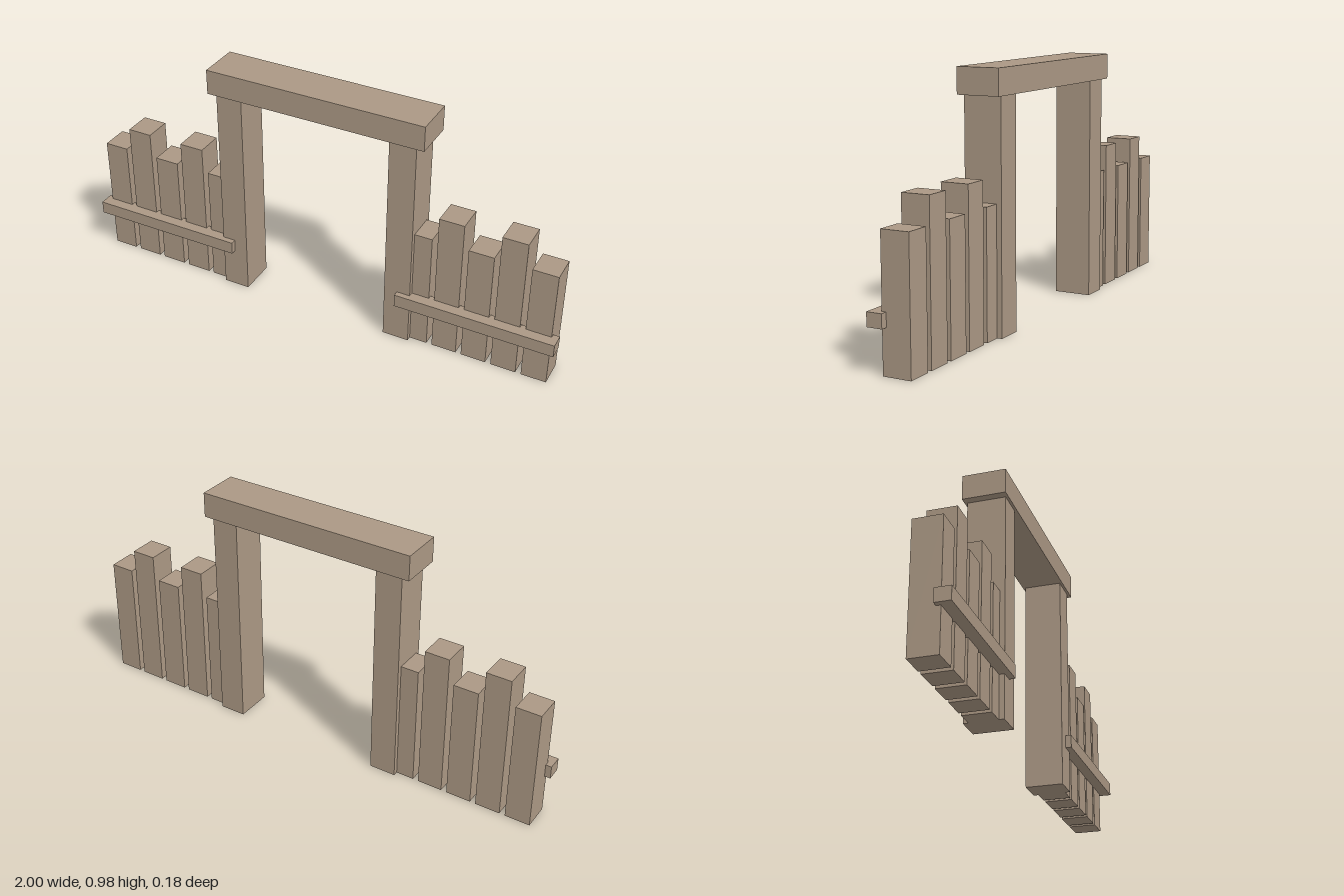
import * as THREE from 'three';

export function createModel() {
  const model = new THREE.Group();
  model.name = 'fenceGateway';
  const wood = new THREE.MeshStandardMaterial({ color: 0xab9884 });
  wood.name = 'weathered wood';

  // Box beam given by its extents on each axis
  function beam(name, parent, [x0, x1], [y0, y1], [z0, z1]) {
    const mesh = new THREE.Mesh(new THREE.BoxGeometry(x1 - x0, y1 - y0, z1 - z0), wood);
    mesh.position.set((x0 + x1) / 2, (y0 + y1) / 2, (z0 + z1) / 2);
    mesh.name = name;
    parent.add(mesh);
  }

  // Gate: two posts under a lintel
  const gate = new THREE.Group();
  gate.name = 'gate';
  model.add(gate);
  beam('leftPost', gate, [0.305, 0.412], [0, 0.878], [-0.08, 0.07]);
  beam('rightPost', gate, [-0.415, -0.308], [0, 0.878], [-0.08, 0.07]);
  beam('lintel', gate, [-0.448, 0.445], [0.877, 0.977], [-0.09, 0.08]);

  // Fence wings: five pickets of alternating height, tied by a front rail
  const wings = [
    { side: 'left', first: 0.433, step: 0.122, rail: [0.358, 0.997] },
    { side: 'right', first: -0.437, step: -0.1225, rail: [-1, -0.363] },
  ];
  for (const { side, first, step, rail } of wings) {
    const fence = new THREE.Group();
    fence.name = side + 'Fence';
    model.add(fence);
    for (let i = 0; i < 5; i++) {
      const x = first + i * step;
      const height = i % 2 ? 0.592 : 0.492;
      beam(side + 'Picket' + (i + 1), fence, [x - 0.05, x + 0.05], [0, height], [-0.06, 0.05]);
    }
    beam(side + 'Rail', fence, rail, [0.167, 0.219], [0.033, 0.093]);
  }
  return model;
}
